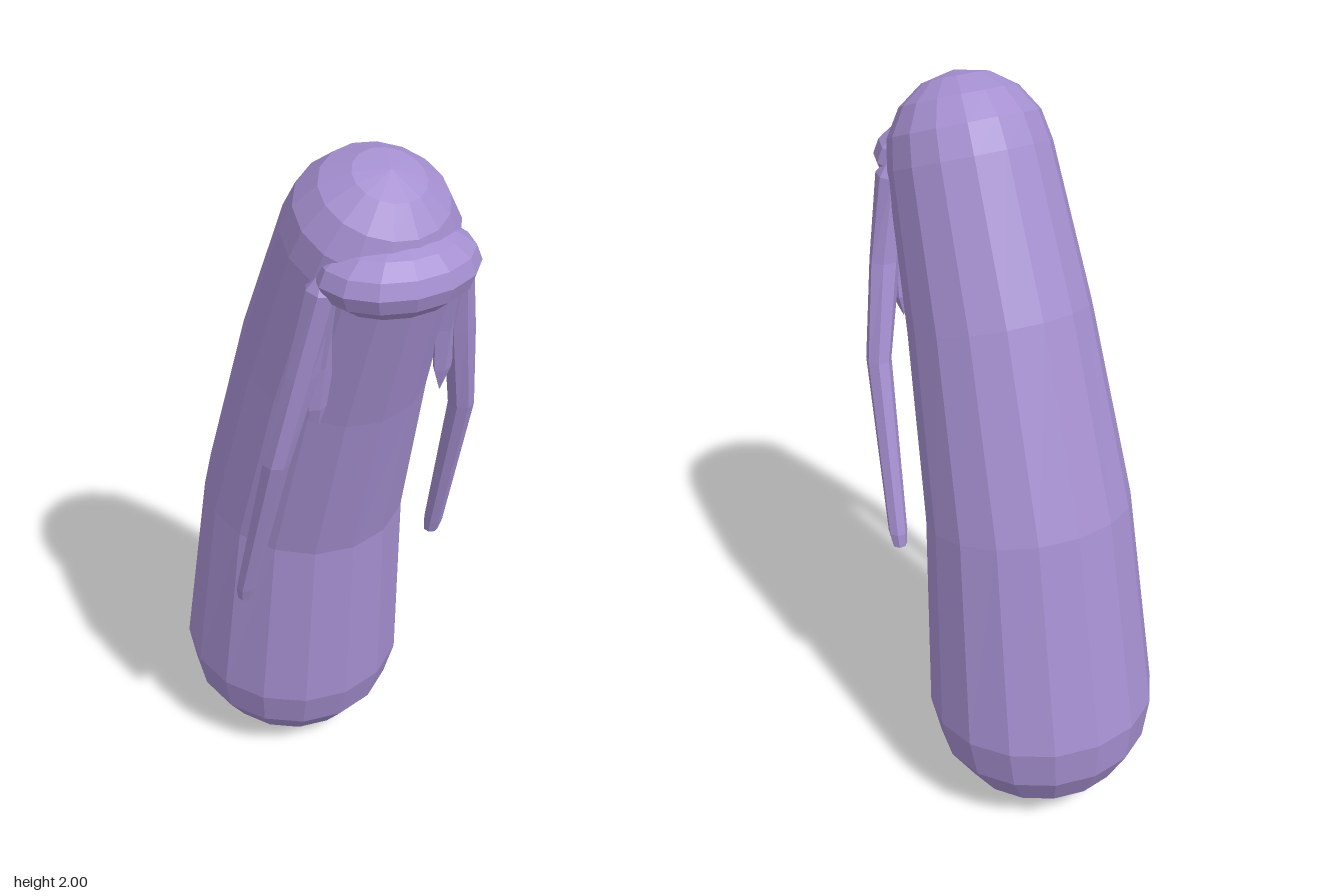
import * as THREE from 'three';

const lilac = new THREE.MeshStandardMaterial({ color: 0xa58fd0, flatShading: true });
lilac.name = 'lilac';

// Skin over elliptical rings [x, y, z, radiusX, radiusZ, forwardTilt], listed from bottom to top
function loft(name, rings, sides) {
  const pos = [], index = [];
  for (const [x, y, z, rx, rz, tilt = 0] of rings) {
    for (let j = 0; j < sides; j++) {
      const a = (j / sides) * Math.PI * 2;
      const f = Math.cos(a) * rz;
      pos.push(x + Math.sin(a) * rx, y - f * Math.sin(tilt), z + f * Math.cos(tilt));
    }
  }
  for (let i = 0; i < rings.length - 1; i++) {
    for (let j = 0; j < sides; j++) {
      const k = (j + 1) % sides;
      const a = i * sides + j, b = i * sides + k;
      index.push(a, b, b + sides, a, b + sides, a + sides);
    }
  }
  const geo = new THREE.BufferGeometry();
  geo.setAttribute('position', new THREE.Float32BufferAttribute(pos, 3));
  geo.setIndex(index);
  geo.computeVertexNormals();
  const mesh = new THREE.Mesh(geo, lilac);
  mesh.name = name;
  return mesh;
}

// Rings of a half sphere along a tilted axis; dir is -1 for a lower cap, 1 for an upper cap
function dome(y, z, r, tilt, dir) {
  const rings = [];
  for (const deg of [22, 44, 66, 89.9]) {
    const a = THREE.MathUtils.degToRad(deg);
    const h = dir * r * Math.sin(a), w = r * Math.cos(a);
    rings.push([0, y + h * Math.cos(tilt), z + h * Math.sin(tilt), w, w, tilt]);
  }
  return dir < 0 ? rings.reverse() : rings;
}

export function createModel() {
  const model = new THREE.Group();
  model.name = 'stoopedFigure';

  // Long body leaning forward, rounded at both ends
  model.add(loft('bodyAndHead', [
    ...dome(0.316, -0.18, 0.316, 0.1, -1),
    [0, 0.316, -0.18, 0.316, 0.316, 0.1],
    [0, 0.9, -0.1, 0.28, 0.27, 0.22],
    [0, 1.4, 0.06, 0.243, 0.243, 0.36],
    [0, 1.785, 0.215, 0.214, 0.214, 0.4],
    ...dome(1.785, 0.215, 0.214, 0.4, 1),
  ], 16));

  // Wide blunt muzzle
  const muzzle = new THREE.Mesh(new THREE.SphereGeometry(1, 14, 8), lilac);
  muzzle.name = 'muzzle';
  muzzle.scale.set(0.205, 0.1, 0.16);
  muzzle.position.set(0, 1.762, 0.333);
  model.add(muzzle);

  // Thin hanging arms, each with a small fold of skin at the chest
  for (const [side, s] of [['left', 1], ['right', -1]]) {
    const arm = new THREE.Group();
    arm.name = side + 'Arm';
    arm.add(loft('limb', [
      [s * 0.297, 0.745, 0.098, 0.001, 0.001],
      [s * 0.297, 0.75, 0.098, 0.02, 0.02],
      [s * 0.297, 0.79, 0.106, 0.026, 0.027],
      [s * 0.27, 1.26, 0.238, 0.034, 0.036],
      [s * 0.22, 1.52, 0.282, 0.042, 0.036],
      [s * 0.18, 1.74, 0.305, 0.038, 0.05],
      [s * 0.175, 1.79, 0.305, 0.001, 0.001],
    ], 7));
    arm.add(loft('chestFold', [
      [s * 0.175, 1.35, 0.275, 0.001, 0.001],
      [s * 0.178, 1.41, 0.275, 0.026, 0.018],
      [s * 0.175, 1.53, 0.285, 0.035, 0.025],
      [s * 0.175, 1.72, 0.31, 0.03, 0.04],
    ], 5));
    model.add(arm);
  }
  return model;
}
